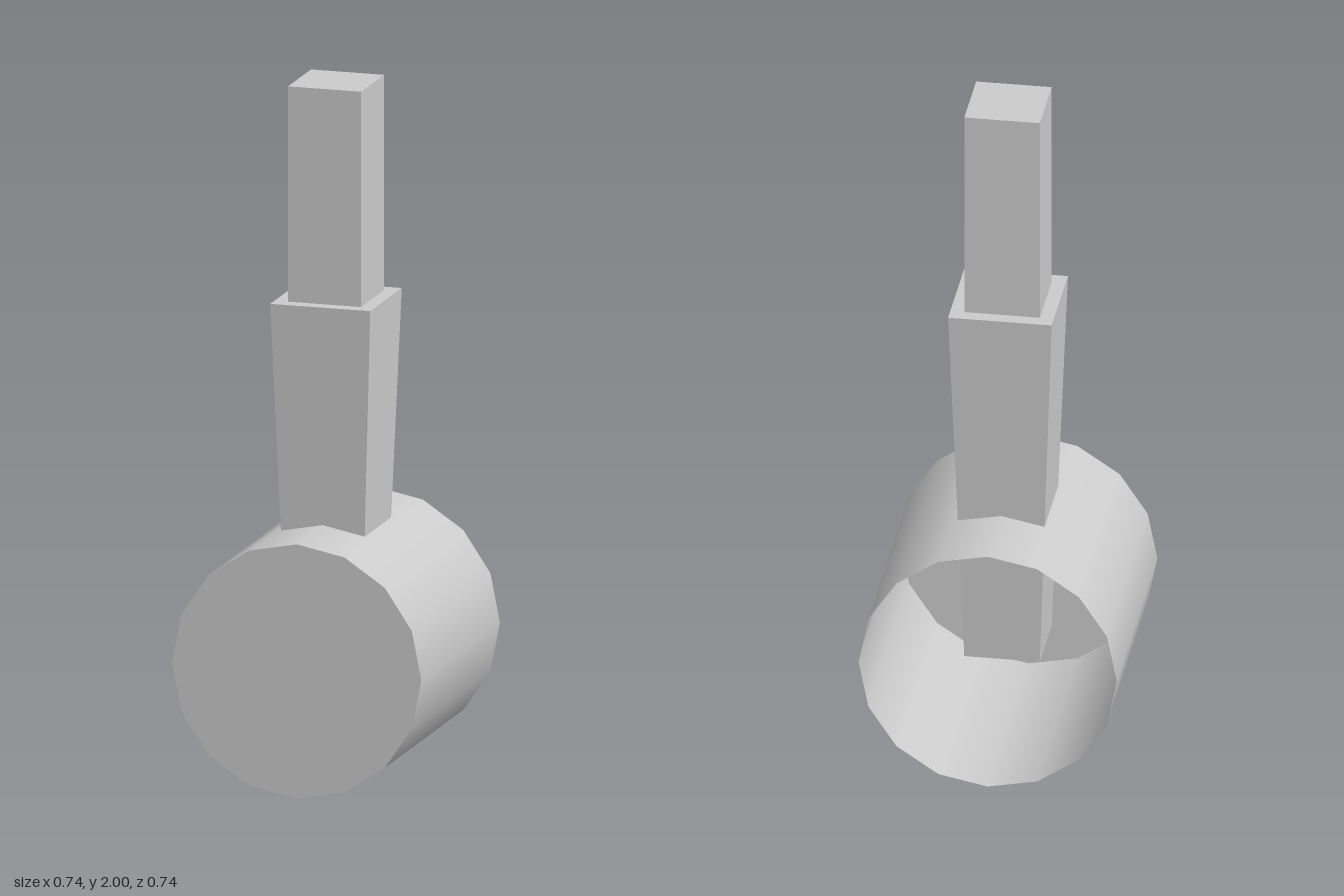
import * as THREE from 'three';

const RADIUS = 0.369, SIDES = 16;

export function createModel() {
  const model = new THREE.Group();
  const smooth = new THREE.MeshStandardMaterial({ color: 0xcccccc, side: THREE.DoubleSide });
  const flat = new THREE.MeshStandardMaterial({ color: 0xcccccc, flatShading: true });

  const add = (name, geometry, material) => {
    const mesh = new THREE.Mesh(geometry, material);
    mesh.name = name;
    model.add(mesh);
  };

  // Square post, given half widths at the top and bottom
  const post = (halfTop, halfBottom, yBottom, yTop) =>
    new THREE.CylinderGeometry(halfTop * Math.SQRT2, halfBottom * Math.SQRT2, yTop - yBottom, 4)
      .rotateY(Math.PI / 4)
      .translate(0, (yTop + yBottom) / 2, 0);

  // Hollow head, lying along z and open at the back
  add('headShell', new THREE.CylinderGeometry(RADIUS, RADIUS, RADIUS * 2, SIDES, 1, true)
    .rotateX(Math.PI / 2).translate(0, RADIUS, 0), smooth);
  add('headFace', new THREE.CircleGeometry(RADIUS, SIDES).translate(0, RADIUS, RADIUS), smooth);

  // Tapered grip reaching down into the head, with a narrower shaft on top
  add('grip', post(0.148, 0.108, 0.27, 1.375), flat);
  add('shaft', post(0.108, 0.108, 1.375, 2), flat);

  return model;
}
